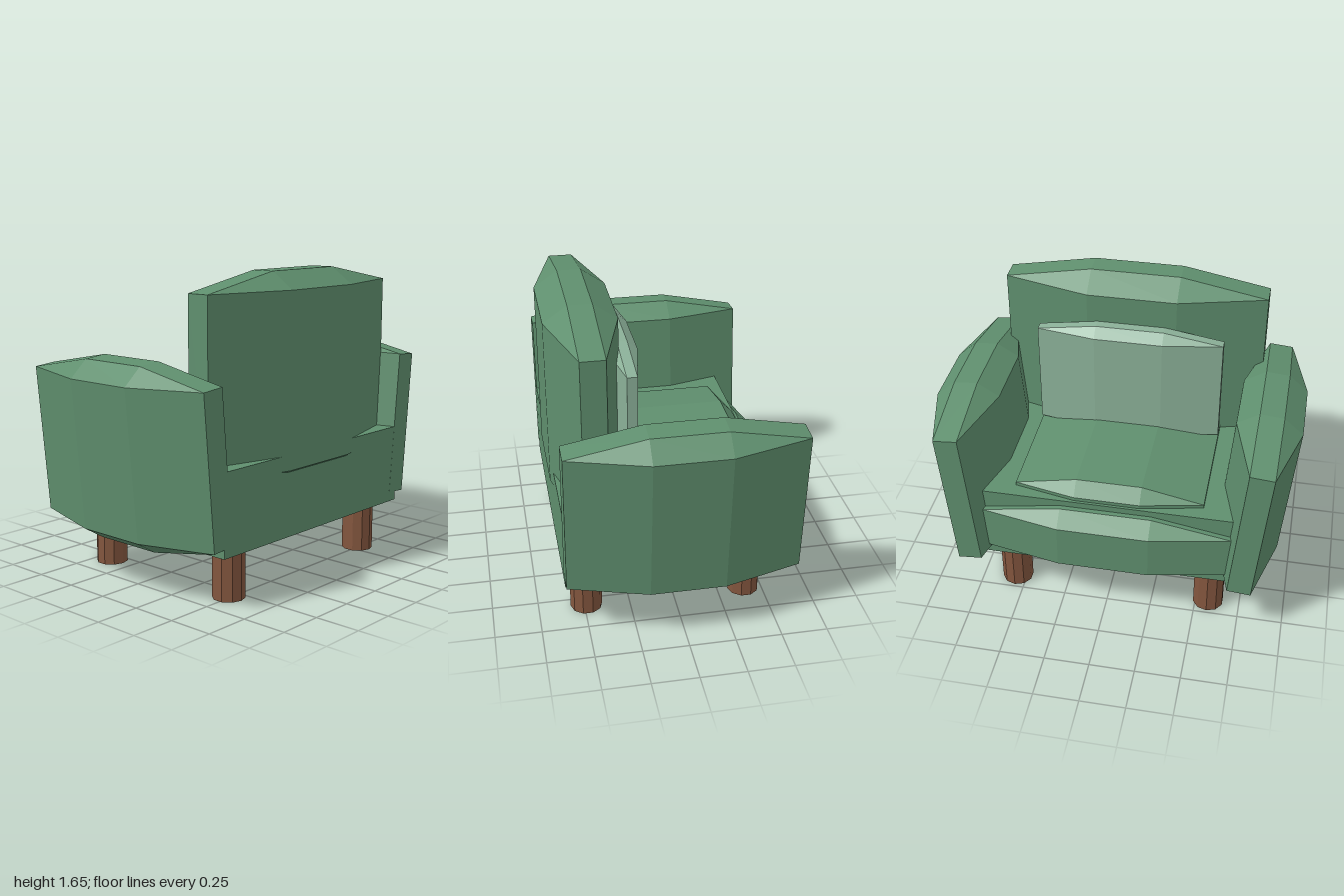
import * as THREE from 'three';

const material = (name, color) =>
  new THREE.MeshStandardMaterial({ name, color, flatShading: true });

// Padded block running along z: rectangular ends swell to an octagonal middle.
function paddedBlock(thick, height, length, swellX, swellY, midHalf) {
  const a = thick / 2, b = height / 2;
  const section = (p, q) => [
    [a + p, -b], [a + p, b], [a, b + q], [-a, b + q],
    [-a - p, b], [-a - p, -b], [-a, -b - q], [a, -b - q],
  ];
  const stations = [[-length / 2, 0], [-midHalf, 1], [midHalf, 1], [length / 2, 0]];
  const positions = [], index = [];
  for (const [z, s] of stations)
    for (const [x, y] of section(swellX * s, swellY * s)) positions.push(x, y, z);
  for (let i = 0; i < 3; i++) {
    for (let j = 0; j < 8; j++) {
      const k = (j + 1) % 8;
      const p = i * 8 + j, q = i * 8 + k;
      // chamfers narrow to a point at each end
      const corner = j % 2 === 1;
      if (!(corner && i === 0)) index.push(p, q, q + 8);
      if (!(corner && i === 2)) index.push(p, q + 8, p + 8);
      if (corner && i === 0) index.push(p, q + 8, p + 8);
      if (corner && i === 2) index.push(p, q, q + 8);
    }
  }
  // end caps
  index.push(0, 5, 4, 0, 4, 1, 24, 25, 28, 24, 28, 29);
  const geometry = new THREE.BufferGeometry();
  geometry.setAttribute('position', new THREE.Float32BufferAttribute(positions, 3));
  geometry.setIndex(index);
  const flat = geometry.toNonIndexed();
  flat.computeVertexNormals();
  return flat;
}

export function createModel() {
  const model = new THREE.Group();
  model.name = 'armchair';
  const green = material('green upholstery', 0x5f8f6e);
  const paleGreen = material('pale green cushion', 0x8bb098);
  const wood = material('brown wood', 0x83563e);

  const add = (name, geometry, mat, x, y, z) => {
    const mesh = new THREE.Mesh(geometry, mat);
    mesh.name = name;
    mesh.position.set(x, y, z);
    model.add(mesh);
    return mesh;
  };

  // Seat frame, with the seat opening toward -x
  add('seatBase', new THREE.BoxGeometry(1.12, 0.44, 1.49), green, 0.055, 0.49, 0);
  add('frontPanel', paddedBlock(0.13, 0.25, 1.38, 0.085, 0.075, 0.25), green, -0.468, 0.475, 0);
  add('seatCushion', paddedBlock(0.9, 0.16, 1.04, 0.07, 0.07, 0.18), green, 0.03, 0.65, 0);

  // Backrest and loose cushion
  add('backrest', paddedBlock(0.13, 0.93, 1.47, 0.13, 0.09, 0.25), green, 0.435, 1.095, 0);
  add('backCushion', paddedBlock(0.055, 0.6, 1.04, 0.055, 0.05, 0.19), paleGreen, 0.2125, 1.05, 0);

  // Arms lean slightly outward
  const armGeometry = paddedBlock(0.13, 0.81, 1.245, 0.112, 0.083, 0.2).rotateY(Math.PI / 2);
  for (const side of [1, -1]) {
    const arm = add(side > 0 ? 'armFront' : 'armRear', armGeometry, green, -0.007, 0.722, side * 0.787);
    arm.rotation.x = side * 0.087;
  }

  // Legs
  const legGeometry = new THREE.CylinderGeometry(0.087, 0.087, 0.3, 10).rotateY(Math.PI / 2);
  for (const x of [-0.397, 0.488])
    for (const z of [0.572, -0.553]) add('leg', legGeometry, wood, x, 0.15, z);

  return model;
}
